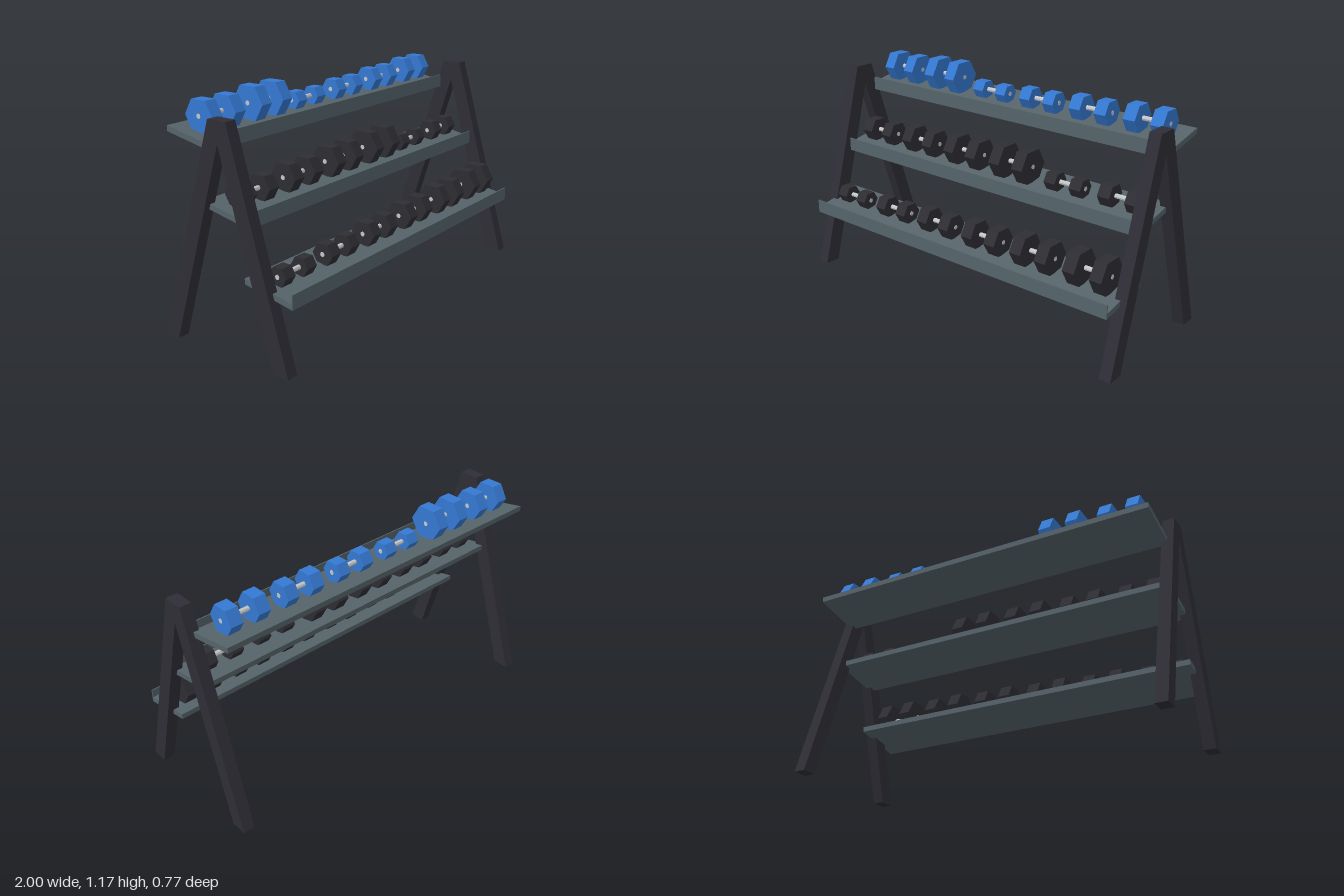
import * as THREE from 'three';

const mat = (name, color) => {
  const m = new THREE.MeshStandardMaterial({ color });
  m.name = name;
  return m;
};

// Extrude a [z, y] outline along x, centred on x = 0
function extrudeX(points, width, hole) {
  const shape = new THREE.Shape(points.map(([z, y]) => new THREE.Vector2(z, y)));
  if (hole) shape.holes.push(new THREE.Path(hole.map(([z, y]) => new THREE.Vector2(z, y))));
  const geo = new THREE.ExtrudeGeometry(shape, { depth: width, bevelEnabled: false });
  geo.translate(0, 0, -width / 2);
  geo.rotateY(-Math.PI / 2);
  return geo;
}

export function createModel() {
  const frameMat = mat('charcoal frame', 0x2f2e36);
  const shelfMat = mat('slate shelf', 0x55646a);
  const blueMat = mat('blue head', 0x3579d3);
  const blackMat = mat('black head', 0x2e2d33);
  const steelMat = mat('steel handle', 0xc4c6c8);
  for (const m of [blueMat, blackMat, steelMat]) m.flatShading = true;

  const root = new THREE.Group();
  root.name = 'dumbbellRack';
  const add = (parent, name, geo, material, x = 0, y = 0, z = 0) => {
    const mesh = new THREE.Mesh(geo, material);
    mesh.name = name;
    mesh.position.set(x, y, z);
    parent.add(mesh);
    return mesh;
  };

  // A-shaped end frames
  const frameGeo = extrudeX([
    [0.38, 0], [0.063, 1.105], [-0.043, 1.105], [-0.388, 0],
    [-0.305, 0], [0.01, 1.0], [0.295, 0],
  ], 0.062);
  add(root, 'leftFrame', frameGeo, frameMat, 0.969);
  add(root, 'rightFrame', frameGeo, frameMat, -0.969);

  // Sloping shelf with an upright lip along its front edge
  const shelfGeo = extrudeX([
    [0, 0], [0, 0.072], [-0.006, 0.072], [-0.006, 0.029],
    [-0.275, 0.081], [-0.275, 0.053],
  ], 1.934);

  // Hexagonal heads lie flat side down, axis along x
  const headGeo = (radius) => {
    const geo = new THREE.CylinderGeometry(radius, radius, 0.066, 6);
    geo.rotateZ(Math.PI / 2);
    geo.rotateX(Math.PI / 2);
    geo.computeBoundingBox();
    // keep the corners pointing forwards and backwards
    if (geo.boundingBox.max.y > geo.boundingBox.max.z) geo.rotateX(Math.PI / 2);
    return geo;
  };
  const handleGeo = new THREE.CylinderGeometry(0.0125, 0.0125, 0.217, 8);
  handleGeo.rotateZ(Math.PI / 2);

  const heights = [0.087, 0.102, 0.118, 0.133, 0.149, 0.164];
  const heads = heights.map((h) => headGeo(h / Math.sqrt(3)));

  // start: which size stands first, counted from the model's right
  const tiers = [
    { name: 'lower', y: 0.319, z: 0.386, bottom: 0.372, row: 0.243, start: 0, material: blackMat },
    { name: 'middle', y: 0.635, z: 0.149, bottom: 0.688, row: 0.01, start: 2, material: blackMat },
    { name: 'upper', y: 0.95, z: -0.061, bottom: 1.003, row: -0.2, start: 4, material: blueMat },
  ];
  for (const t of tiers) {
    add(root, t.name + 'Shelf', shelfGeo, shelfMat, 0, t.y, t.z);
    for (let i = 0; i < 6; i++) {
      const size = (t.start + i) % 6;
      const bell = new THREE.Group();
      bell.name = t.name + 'Dumbbell' + (i + 1);
      bell.position.set((i - 2.5) * 0.317, t.bottom + heights[size] / 2, t.row);
      add(bell, 'handle', handleGeo, steelMat);
      for (const s of [-1, 1]) add(bell, s > 0 ? 'leftHead' : 'rightHead', heads[size], t.material, s * 0.074);
      root.add(bell);
    }
  }
  return root;
}
